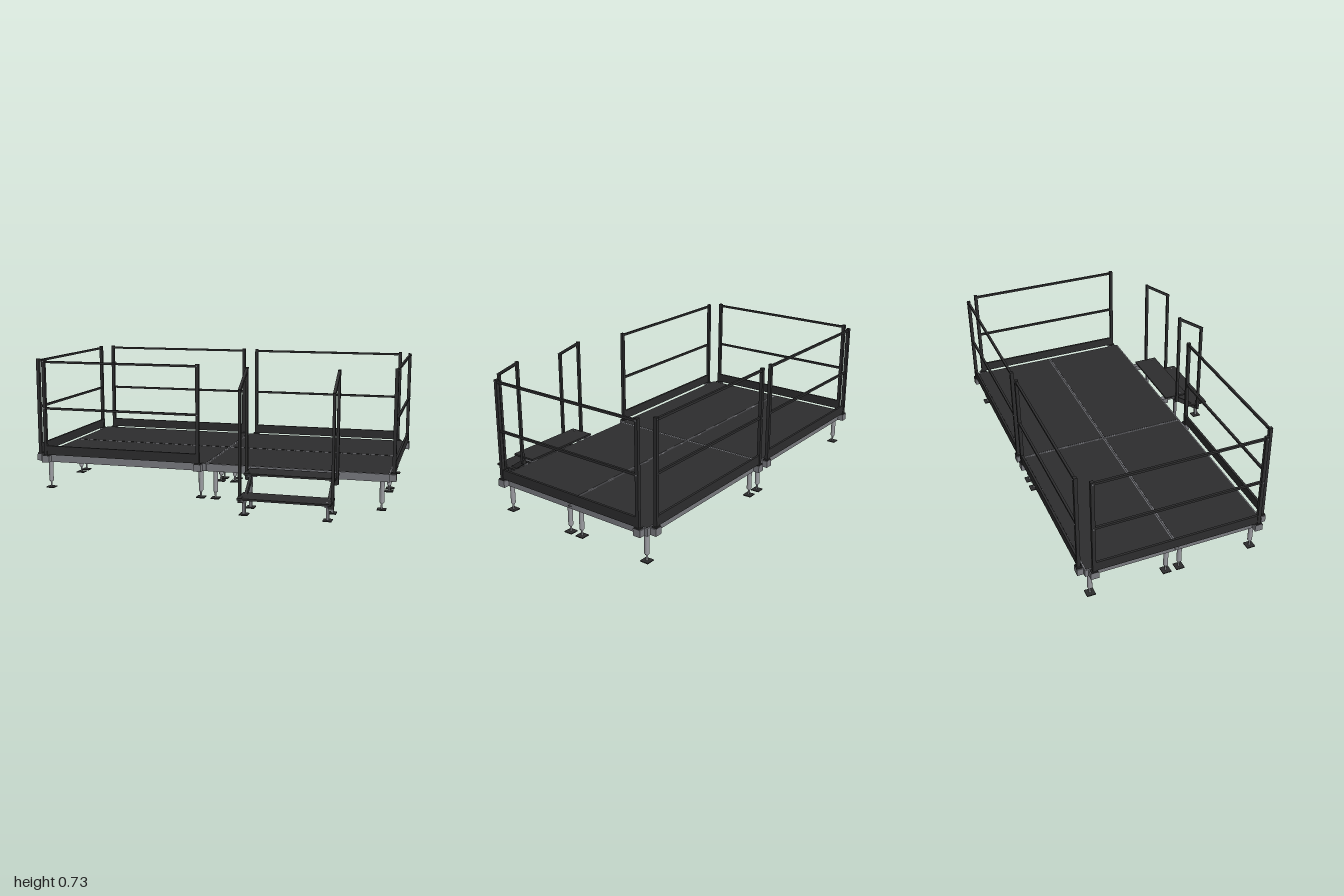
import * as THREE from 'three';

const mat = (name, color) => {
  const m = new THREE.MeshStandardMaterial({ color });
  m.name = name;
  return m;
};

export function createModel() {
  const dark = mat('black coating', 0x2d2d2e);
  const frame = mat('frame metal', 0x7a7b80);
  const metal = mat('leg metal', 0x9b9ca1);

  const group = (name, parent) => {
    const g = new THREE.Group();
    g.name = name;
    parent.add(g);
    return g;
  };
  // box given by its limits on each axis
  const box = (parent, name, material, x0, x1, y0, y1, z0, z1) => {
    const m = new THREE.Mesh(new THREE.BoxGeometry(x1 - x0, y1 - y0, z1 - z0), material);
    m.position.set((x0 + x1) / 2, (y0 + y1) / 2, (z0 + z1) / 2);
    m.name = name;
    parent.add(m);
    return m;
  };
  const rod = (parent, name, material, r, h, x, y, z, sides = 16) => {
    const m = new THREE.Mesh(new THREE.CylinderGeometry(r, r, h, sides), material);
    m.position.set(x, y, z);
    m.name = name;
    parent.add(m);
    return m;
  };
  // sloping bar in the y-z plane
  const slopedBar = (parent, name, material, x, w, t, y0, z0, y1, z1) => {
    const m = new THREE.Mesh(new THREE.BoxGeometry(w, t, Math.hypot(y1 - y0, z1 - z0)), material);
    m.position.set(x, (y0 + y1) / 2, (z0 + z1) / 2);
    m.rotation.x = -Math.atan2(y1 - y0, z1 - z0);
    m.name = name;
    parent.add(m);
  };

  const root = new THREE.Group();
  root.name = 'stagePlatform';

  // adjustable leg: tube, threaded spindle, nut and foot plate
  const addLeg = (parent, x, z) => {
    const g = group('leg', parent);
    rod(g, 'legTube', metal, 0.0125, 0.125, x, 0.1025, z, 20);
    rod(g, 'spindle', metal, 0.005, 0.045, x, 0.0225, z, 12);
    rod(g, 'nut', frame, 0.009, 0.006, x, 0.037, z, 6);
    box(g, 'footPlate', dark, x - 0.023, x + 0.023, 0, 0.005, z - 0.023, z + 0.023);
  };

  // four deck modules
  const W = 0.967, D = 0.478;
  for (const cx of [-0.4845, 0.4845]) for (const cz of [0.1, -0.38]) {
    const deck = group('deckModule', root);
    deck.position.set(cx, 0, cz);
    const hx = W / 2, hz = D / 2, t = 0.016;
    box(deck, 'panel', dark, -hx + 0.006, hx - 0.006, 0.184, 0.196, -hz + 0.006, hz - 0.006);
    for (const s of [-1, 1]) {
      const z = s * (hz - t / 2), x = s * (hx - t / 2);
      box(deck, 'longBeam', frame, -hx, hx, 0.155, 0.195, z - t / 2, z + t / 2);
      box(deck, 'endBeam', frame, x - t / 2, x + t / 2, 0.155, 0.195, -hz + t, hz - t);
      for (const q of [-1, 1]) {
        const lx = s * (hx - 0.04), lz = q * (hz - 0.036);
        box(deck, 'legSocket', frame, lx - 0.024, lx + 0.024, 0.152, 0.184, lz - 0.022, lz + 0.022);
        addLeg(deck, lx, lz);
      }
    }
    for (let i = 1; i <= 5; i++) {
      const x = -hx + (W * i) / 6;
      box(deck, 'crossBeam', frame, x - 0.008, x + 0.008, 0.166, 0.184, -hz + t, hz - t);
    }
  }

  // clamps joining the modules
  for (const x of [-0.62, -0.34, 0.34, 0.62])
    box(root, 'joinClamp', dark, x - 0.012, x + 0.012, 0.152, 0.17, -0.162, -0.118);
  for (const z of [-0.5, -0.28, 0, 0.2])
    box(root, 'joinClamp', dark, -0.022, 0.022, 0.152, 0.17, z - 0.012, z + 0.012);

  // connector holes beside the module seam
  for (const s of [-1, 1]) for (const z of [-0.131, -0.149]) for (const y of [0.167, 0.183])
    rod(root, 'connectorBolt', dark, 0.0025, 0.003, s * 0.9685, y, z, 8).rotation.z = Math.PI / 2;

  // guard rail, running along local x and standing outside the edge at local z = 0
  const addRail = (name, x, z, turn) => {
    const g = group(name, root);
    g.position.set(x, 0, z);
    g.rotation.y = turn;
    const h = 0.4425, c = 0.018;
    for (const s of [-1, 1]) {
      const px = s * h;
      box(g, 'railPost', dark, px - 0.009, px + 0.009, 0.16, 0.73, c - 0.009, c + 0.009);
      box(g, 'postBracket', frame, px - 0.021, px + 0.021, 0.156, 0.192, 0, c + 0.0135);
      box(g, 'bracketCap', dark, px - 0.016, px + 0.016, 0.192, 0.199, 0.003, c + 0.0135);
      for (const y of [0.46, 0.72])
        rod(g, 'railBolt', frame, 0.004, 0.003, px, y, c + 0.0105, 10).rotation.x = Math.PI / 2;
    }
    for (const y of [0.46, 0.718])
      box(g, 'railBar', dark, -h, h, y - 0.006, y + 0.006, c - 0.006, c + 0.006);
    box(g, 'toeBoard', dark, -h, h, 0.199, 0.25, c - 0.006, c + 0.006);
  };
  addRail('frontRail', -0.485, 0.34, 0);
  addRail('backRail', -0.485, -0.62, Math.PI);
  addRail('backRail', 0.483, -0.62, Math.PI);
  addRail('leftRail', 0.968, -0.1375, Math.PI / 2);
  addRail('rightRail', -0.968, -0.1375, -Math.PI / 2);

  // access stair with two treads
  const stair = group('stair', root);
  const xa = 0.247, xb = 0.717;
  for (const [name, y, z0, z1] of [['upperTread', 0.19, 0.366, 0.504], ['lowerTread', 0.094, 0.513, 0.647]]) {
    box(stair, name, dark, xa, xb, y - 0.006, y + 0.004, z0, z1);
    for (const x of [0.27, 0.694]) {
      box(stair, 'treadSupport', frame, x - 0.008, x + 0.008, y - 0.017, y - 0.006, z0 + 0.015, z1 - 0.012);
      rod(stair, 'treadBolt', metal, 0.004, 0.002, x, y + 0.0045, z1 - 0.03, 10);
    }
  }
  for (const [s, x] of [[-1, 0.27], [1, 0.694]]) {
    const rx = s < 0 ? xa : xb;
    const side = group(s < 0 ? 'stairRightSide' : 'stairLeftSide', stair);
    box(side, 'deckHook', frame, x - 0.016, x + 0.016, 0.15, 0.182, 0.34, 0.385);
    box(side, 'hookArm', frame, x - 0.008, x + 0.008, 0.165, 0.182, 0.385, 0.45);
    slopedBar(side, 'stringer', dark, x, 0.014, 0.026, 0.065, 0.58, 0.168, 0.43);
    for (const [z, top] of [[0.585, 0.09], [0.44, 0.165]]) {
      box(side, 'stairLeg', frame, x - 0.008, x + 0.008, 0.004, top, z - 0.008, z + 0.008);
      box(side, 'stairFoot', dark, x - 0.022, x + 0.022, 0, 0.005, z - 0.024, z + 0.024);
    }
    // handrail
    box(side, 'handrailPost', dark, rx - 0.007, rx + 0.007, 0.06, 0.632, 0.577, 0.593);
    box(side, 'handrailPost', dark, rx - 0.007, rx + 0.007, 0.15, 0.73, 0.433, 0.449);
    slopedBar(side, 'handrail', dark, rx, 0.014, 0.015, 0.628, 0.592, 0.723, 0.438);
    for (const [z, y] of [[0.585, 0.073], [0.441, 0.16]])
      box(side, 'handrailMount', dark, Math.min(rx, x), Math.max(rx, x), y - 0.012, y + 0.012, z - 0.009, z + 0.009);
  }
  return root;
}
